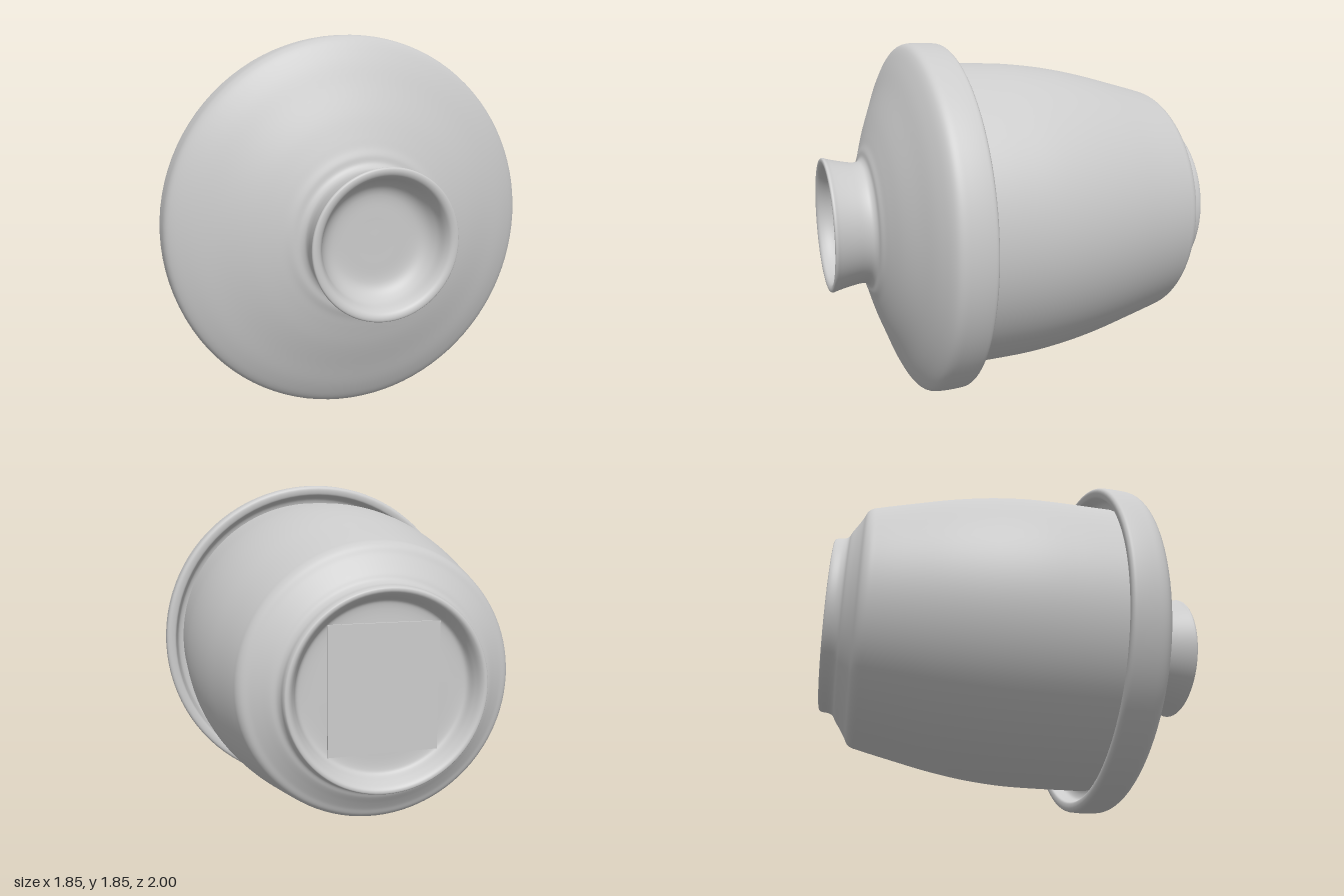
import * as THREE from 'three';

const material = new THREE.MeshStandardMaterial({ color: 0xcccccc, side: THREE.DoubleSide });

// Smooth turned shape about the z axis from [radius, z] points, listed back to front along the outside.
function turned(name, points, x, y) {
  const curve = new THREE.CatmullRomCurve3(
    points.map(([r, z]) => new THREE.Vector3(r, z, 0)), false, 'centripetal');
  const profile = curve.getPoints(points.length * 5)
    .map((p) => new THREE.Vector2(Math.max(p.x, 0), p.y));
  const geometry = new THREE.LatheGeometry(profile, 96);
  geometry.rotateX(Math.PI / 2);
  const mesh = new THREE.Mesh(geometry, material);
  mesh.name = name;
  mesh.position.set(x, y, 0);
  return mesh;
}

export function createModel() {
  const group = new THREE.Group();
  group.name = 'liddedCup';

  // Cup: recessed base, foot ring, shoulder and gently swelling wall
  group.add(turned('cup', [
    [0, -0.91], [0.2, -0.91], [0.37, -0.91], [0.4, -0.92], [0.42, -0.96],
    [0.437, -0.99], [0.45, -1], [0.463, -0.999], [0.47, -0.985], [0.475, -0.95],
    [0.488, -0.927], [0.515, -0.912], [0.555, -0.885], [0.595, -0.86],
    [0.63, -0.842], [0.648, -0.82], [0.66, -0.78], [0.705, -0.6], [0.752, -0.4],
    [0.787, -0.2], [0.807, 0], [0.812, 0.2], [0.812, 0.38], [0.812, 0.52],
  ], 0.01, 0.935));

  // Thin plate set in the base recess
  const plate = new THREE.Mesh(new THREE.BoxGeometry(0.52, 0.6, 0.012), material);
  plate.name = 'basePlate';
  plate.position.set(0.01, 0.935, -0.914);
  group.add(plate);

  // Lid: underside groove, rounded rim, dome, flared knob and its hollow
  group.add(turned('lid', [
    [0.78, 0.47], [0.82, 0.47], [0.85, 0.455], [0.862, 0.42], [0.87, 0.392],
    [0.885, 0.385], [0.908, 0.385], [0.92, 0.395], [0.924, 0.42], [0.924, 0.5],
    [0.918, 0.55], [0.9, 0.577], [0.82, 0.623], [0.69, 0.675], [0.56, 0.725],
    [0.46, 0.757], [0.41, 0.772], [0.375, 0.785], [0.34, 0.793], [0.322, 0.81],
    [0.318, 0.84], [0.327, 0.9], [0.343, 0.97], [0.349, 0.99], [0.345, 0.998],
    [0.33, 1], [0.312, 0.992], [0.298, 0.97], [0.28, 0.92], [0.25, 0.88],
    [0.21, 0.86], [0.1, 0.855], [0, 0.855],
  ], 0, 0.925));

  return group;
}
